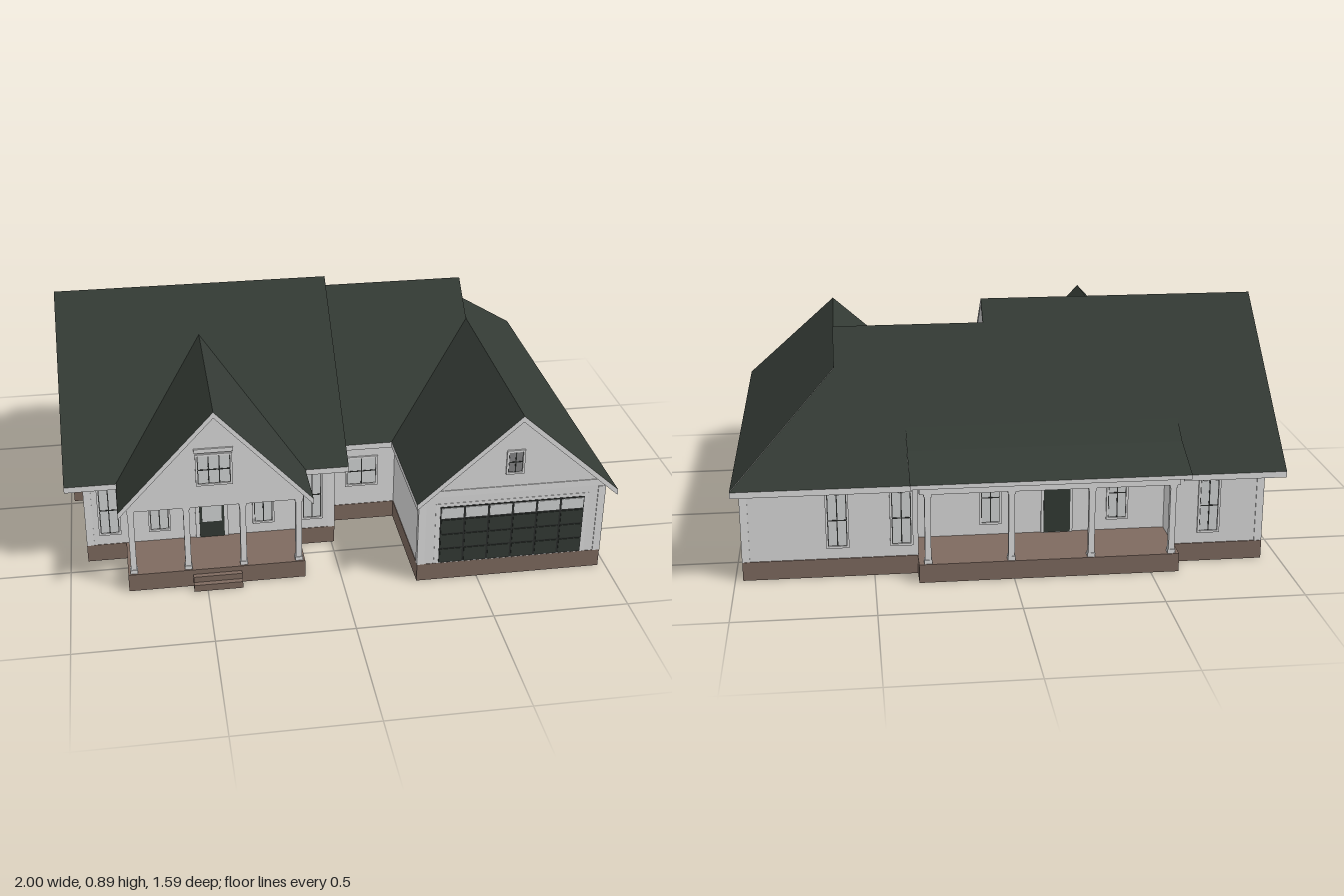
import * as THREE from 'three';

const mat = (name, color, side = THREE.FrontSide) => {
  const m = new THREE.MeshStandardMaterial({ color, side });
  m.name = name;
  return m;
};

export function createModel() {
  const house = new THREE.Group();
  house.name = 'house';
  const wall = mat('white siding', 0xdcdcdc);
  const trim = mat('white trim', 0xdfdfdf);
  const green = mat('dark green', 0x333a34);
  const brick = mat('brown brick', 0x7e6a5f, THREE.DoubleSide);
  const glass = mat('pale glass', 0xd3d5d5);
  const dark = mat('black bars', 0x2a2d2b);
  const grey = mat('grey concrete', 0x858587);

  const add = (name, geo, material, parent = house) => {
    const m = new THREE.Mesh(geo, material);
    m.name = name;
    parent.add(m);
    return m;
  };
  // box from its minimum and maximum corners
  const box = (name, x0, x1, y0, y1, z0, z1, material, parent) => {
    const g = new THREE.BoxGeometry(x1 - x0, y1 - y0, z1 - z0);
    g.translate((x0 + x1) / 2, (y0 + y1) / 2, (z0 + z1) / 2);
    return add(name, g, material, parent);
  };
  const shapeOf = (pts) => new THREE.Shape(pts.map(([a, b]) => new THREE.Vector2(a, b)));
  const extrude = (pts, depth) =>
    new THREE.ExtrudeGeometry(shapeOf(pts), { depth, bevelEnabled: false });
  const meshFrom = (pos) => {
    const g = new THREE.BufferGeometry();
    g.setAttribute('position', new THREE.Float32BufferAttribute(pos, 3));
    g.computeVertexNormals();
    return g;
  };
  // footprint of [x, z] points raised from y0 to y1
  const raise = (name, pts, y0, y1, material) => {
    const g = extrude(pts.map(([x, z]) => [x, -z]), y1 - y0);
    g.rotateX(-Math.PI / 2).translate(0, y0, 0);
    add(name, g, material);
  };
  // thin upright skirt following a clockwise [x, z] outline
  const skirt = (name, pts, y0, y1, material) => {
    const pos = [];
    pts.forEach(([x, z], i) => {
      const [u, w] = pts[(i + 1) % pts.length];
      pos.push(u, y0, w, x, y0, z, x, y1, z, u, y0, w, x, y1, z, u, y1, w);
    });
    add(name, meshFrom(pos), material);
  };
  // attic running along x: front wall, ridge and back wall tops given as [z, y]
  const atticAlongX = (name, front, ridge, back, x0, x1) => {
    const pts = [[front[0], 0.35], front, ridge, back, [back[0], 0.35]];
    const g = extrude(pts.map(([z, y]) => [-z, y]), x1 - x0);
    g.rotateY(Math.PI / 2).translate(x0, 0, 0);
    add(name, g, wall);
  };
  // gable of [x, y] points running along z
  const gableAlongZ = (name, pts, z0, z1) =>
    add(name, extrude(pts, z1 - z0).translate(0, 0, z0), wall);

  // sloped roof slab over an [x, z] outline: green top, white edges and soffit
  const roof = (name, outline, height, t = 0.023) => {
    let flat = outline.map(([x, z]) => new THREE.Vector2(x, -z));
    if (THREE.ShapeUtils.isClockWise(flat)) flat = flat.reverse();
    const top = flat.map((p) => [p.x, height(p.x, -p.y), -p.y]);
    const low = top.map(([x, y, z]) => [x, y - t, z]);
    const tris = THREE.ShapeUtils.triangulateShape(flat, []);
    const pos = [];
    tris.forEach(([a, b, c]) => pos.push(...top[a], ...top[b], ...top[c]));
    const nTop = pos.length / 3;
    tris.forEach(([a, b, c]) => pos.push(...low[a], ...low[c], ...low[b]));
    top.forEach((a, i) => {
      const j = (i + 1) % top.length;
      pos.push(...low[i], ...low[j], ...top[j], ...low[i], ...top[j], ...a);
    });
    const g = meshFrom(pos);
    g.addGroup(0, nTop, 0);
    g.addGroup(nTop, pos.length / 3 - nTop, 1);
    add(name, g, [green, trim]);
  };

  // window with a raised frame, outer size w by h, facing +z before turning
  const addWindow = (name, x, y, z, w, h, cols, rows, turn = 0, pane = glass) => {
    const g = new THREE.Group();
    g.name = name;
    const iw = w / 2 - 0.008, ih = h / 2 - 0.008, b = 0.002;
    const rect = (a, c) => [[-a, -c], [a, -c], [a, c], [-a, c]];
    const ring = shapeOf(rect(w / 2, h / 2));
    ring.holes.push(shapeOf(rect(iw, ih)));
    add('frame', new THREE.ExtrudeGeometry(ring, { depth: 0.007, bevelEnabled: false }), trim, g);
    box('sash', -iw, iw, -ih, ih, 0, 0.002, dark, g);
    box('pane', -iw + b, iw - b, -ih + b, ih - b, 0, 0.0035, pane, g);
    for (let i = 1; i < cols; i++) {
      const bx = -iw + (2 * iw * i) / cols;
      box('bar', bx - b, bx + b, -ih, ih, 0, 0.005, dark, g);
    }
    for (let i = 1; i < rows; i++) {
      const by = -ih + (2 * ih * i) / rows;
      box('bar', -iw, iw, by - b, by + b, 0, 0.005, dark, g);
    }
    g.position.set(x, y, z);
    g.rotation.y = turn;
    house.add(g);
  };

  // hollow brick foundation under a floor slab, garage slab and front steps
  const footing = [
    [0.972, 0.742], [0.272, 0.742], [0.272, 0.284], [0.012, 0.284], [0.012, 0.433], [-0.133, 0.433],
    [-0.133, 0.653], [-0.787, 0.653], [-0.787, 0.433], [-0.935, 0.433], [-0.935, -0.018],
    [-0.987, -0.018], [-0.987, -0.21], [-0.935, -0.21], [-0.935, -0.667], [-0.603, -0.667],
    [-0.603, -0.754], [0.343, -0.754], [0.343, -0.667], [0.972, -0.667],
  ];
  skirt('foundation', footing, 0, 0.062, brick);
  raise('floor', footing, 0.062, 0.07, brick);
  box('garageSlab', 0.273, 0.971, 0.058, 0.064, 0.17, 0.741, grey);
  box('lowerStep', -0.55, -0.37, 0, 0.027, 0.65, 0.692, brick);
  box('upperStep', -0.55, -0.37, 0, 0.05, 0.65, 0.672, brick);

  // walls with a recessed back porch
  raise('walls', [
    [0.97, 0.74], [0.274, 0.74], [0.274, 0.282], [0.01, 0.282], [0.01, 0.431],
    [-0.932, 0.431], [-0.932, -0.663], [-0.6, -0.663], [-0.6, -0.5], [0.34, -0.5],
    [0.34, -0.663], [0.97, -0.663],
  ], 0.07, 0.352, wall);
  const wing = [-0.663, 0.385], recess = [-0.5, 0.53];
  atticAlongX('mainGable', [0.431, 0.39], [-0.113, 0.87], wing, -0.932, -0.6);
  atticAlongX('mainAttic', [0.431, 0.39], [-0.113, 0.87], recess, -0.6, 0.01);
  atticAlongX('middleAttic', [0.282, 0.37], [-0.197, 0.795], recess, 0, 0.34);
  atticAlongX('middleGable', [0.282, 0.37], [-0.197, 0.795], wing, 0.34, 0.6);
  gableAlongZ('garageGable',
    [[0.274, 0.345], [0.97, 0.345], [0.97, 0.37], [0.626, 0.675], [0.274, 0.362]], -0.3, 0.74);
  gableAlongZ('porchGable',
    [[-0.78, 0.335], [-0.138, 0.335], [-0.138, 0.378], [-0.459, 0.725], [-0.78, 0.378]], 0.2, 0.648);
  box('backPorchBeam', -0.6, 0.34, 0.335, 0.385, -0.75, -0.722, trim);
  box('garageFrieze', 0.28, 0.965, 0.355, 0.38, 0.73, 0.743, trim);

  // corner boards
  for (const [x, z] of [[0.959, 0.731], [0.285, 0.731], [-0.001, 0.422], [-0.921, 0.422],
    [0.959, -0.654], [-0.921, -0.654]])
    box('cornerBoard', x - 0.014, x + 0.014, 0.07, 0.35, z - 0.012, z + 0.012, trim);

  // roof planes
  roof('mainFrontRoof', [[-1, -0.113], [0.056, -0.113], [0.056, 0.489], [-0.108, 0.489],
    [-0.459, 0.053], [-0.81, 0.489], [-1, 0.489]], (x, z) => 0.887 - 0.87 * (z + 0.113));
  roof('backRoof', [[-1, -0.113], [0.056, -0.113], [0.056, -0.197], [0.626, -0.197], [0.626, -0.338],
    [1, -0.717], [0.36, -0.717], [0.36, -0.6], [-0.62, -0.6], [-0.62, -0.717], [-1, -0.717]],
    (x, z) => 0.887 + 0.875 * (z + 0.113));
  roof('middleFrontRoof', [[0, -0.197], [0.626, -0.197], [0.626, -0.058], [0.253, 0.323], [0, 0.323]],
    (x, z) => 0.813 - 0.87 * (z + 0.197));
  roof('garageRightRoof', [[0.626, -0.058], [0.626, 0.794], [0.253, 0.794], [0.253, 0.323]],
    (x) => 0.692 - 0.885 * (0.626 - x));
  roof('garageLeftRoof', [[0.626, -0.338], [0.626, 0.794], [1, 0.794], [1, -0.717]],
    (x) => 0.692 - 0.885 * (x - 0.626));
  for (const s of [-1, 1])
    roof('porchRoof', [[-0.459, 0.053], [-0.459, 0.7], [-0.459 + s * 0.351, 0.7], [-0.459 + s * 0.351, 0.489]],
      (x) => 0.744 - 1.08 * Math.abs(x + 0.459));
  // back porch roof flares out from the main slope in two pitches
  const flare = (z0, y0, z1, y1) =>
    roof('backPorchRoof', [[-0.63, z0], [0.373, z0], [0.373, z1], [-0.63, z1]],
      (x, z) => y0 + ((y1 - y0) * (z - z0)) / (z1 - z0), 0.016);
  flare(-0.54, 0.516, -0.625, 0.456);
  flare(-0.625, 0.456, -0.795, 0.388);

  // side bay with its small shed roof
  box('sideBay', -0.983, -0.92, 0.07, 0.37, -0.208, -0.022, wall);
  roof('sideBayRoof', [[-1, -0.225], [-0.92, -0.225], [-0.92, -0.005], [-1, -0.005]],
    (x) => 0.372 + 0.6 * (x + 1), 0.014);

  // porch posts
  const post = (x, z) => {
    box('post', x - 0.011, x + 0.011, 0.07, 0.345, z - 0.011, z + 0.011, trim);
    box('postBase', x - 0.014, x + 0.014, 0.07, 0.085, z - 0.014, z + 0.014, trim);
    box('postCap', x - 0.014, x + 0.014, 0.325, 0.338, z - 0.014, z + 0.014, trim);
  };
  [-0.765, -0.565, -0.36, -0.155].forEach((x) => post(x, 0.633));
  [-0.575, -0.28, 0.01, 0.31].forEach((x) => post(x, -0.736));

  // windows
  for (const x of [-0.845, -0.658, -0.263, -0.075])
    addWindow('frontWindow', x, 0.22, 0.431, 0.083, 0.215, 2, 2);
  addWindow('middleWindow', 0.143, 0.22, 0.282, 0.13, 0.13, 2, 2);
  addWindow('porchGableWindow', -0.46, 0.49, 0.648, 0.132, 0.128, 3, 2);
  box('porchGableHeader', -0.53, -0.39, 0.56, 0.576, 0.64, 0.655, trim);
  addWindow('garageGableWindow', 0.622, 0.48, 0.74, 0.068, 0.098, 2, 2, 0, grey);
  for (const z of [0.55, 0.25])
    addWindow('sideWindow', 0.97, 0.218, z, 0.083, 0.213, 2, 2, Math.PI / 2);
  addWindow('smallSideWindow', 0.97, 0.26, -0.533, 0.063, 0.128, 2, 2, Math.PI / 2);
  for (const x of [-0.73, 0.4, 0.63])
    addWindow('backWindow', x, 0.218, -0.663, 0.083, 0.213, 2, 2, Math.PI);
  for (const x of [-0.42, 0.06])
    addWindow('backPorchWindow', x, 0.218, -0.5, 0.083, 0.213, 2, 2, Math.PI);

  // front and back doors
  box('frontDoorTrim', -0.522, -0.398, 0.07, 0.34, 0.42, 0.436, trim);
  box('frontDoor', -0.507, -0.413, 0.072, 0.318, 0.42, 0.439, green);
  box('frontDoorGlass', -0.497, -0.423, 0.14, 0.308, 0.42, 0.441, glass);
  box('backDoorTrim', -0.25, -0.13, 0.07, 0.325, -0.506, -0.49, trim);
  box('backDoor', -0.24, -0.14, 0.072, 0.315, -0.509, -0.49, green);

  // garage door: dark grooves between green panels, with a row of lights on top
  box('garageDoorTrim', 0.335, 0.91, 0.07, 0.325, 0.73, 0.7415, trim);
  box('garageDoor', 0.352, 0.895, 0.072, 0.312, 0.73, 0.743, dark);
  const pw = 0.543 / 6;
  for (let c = 0; c < 6; c++) {
    const x0 = 0.352 + c * pw + 0.004, x1 = x0 + pw - 0.008;
    box('garageLight', x0, x1, 0.264, 0.307, 0.735, 0.7455, glass);
    for (let r = 0; r < 3; r++)
      box('garagePanel', x0, x1, 0.077 + r * 0.062, 0.132 + r * 0.062, 0.735, 0.7455, green);
  }
  return house;
}
